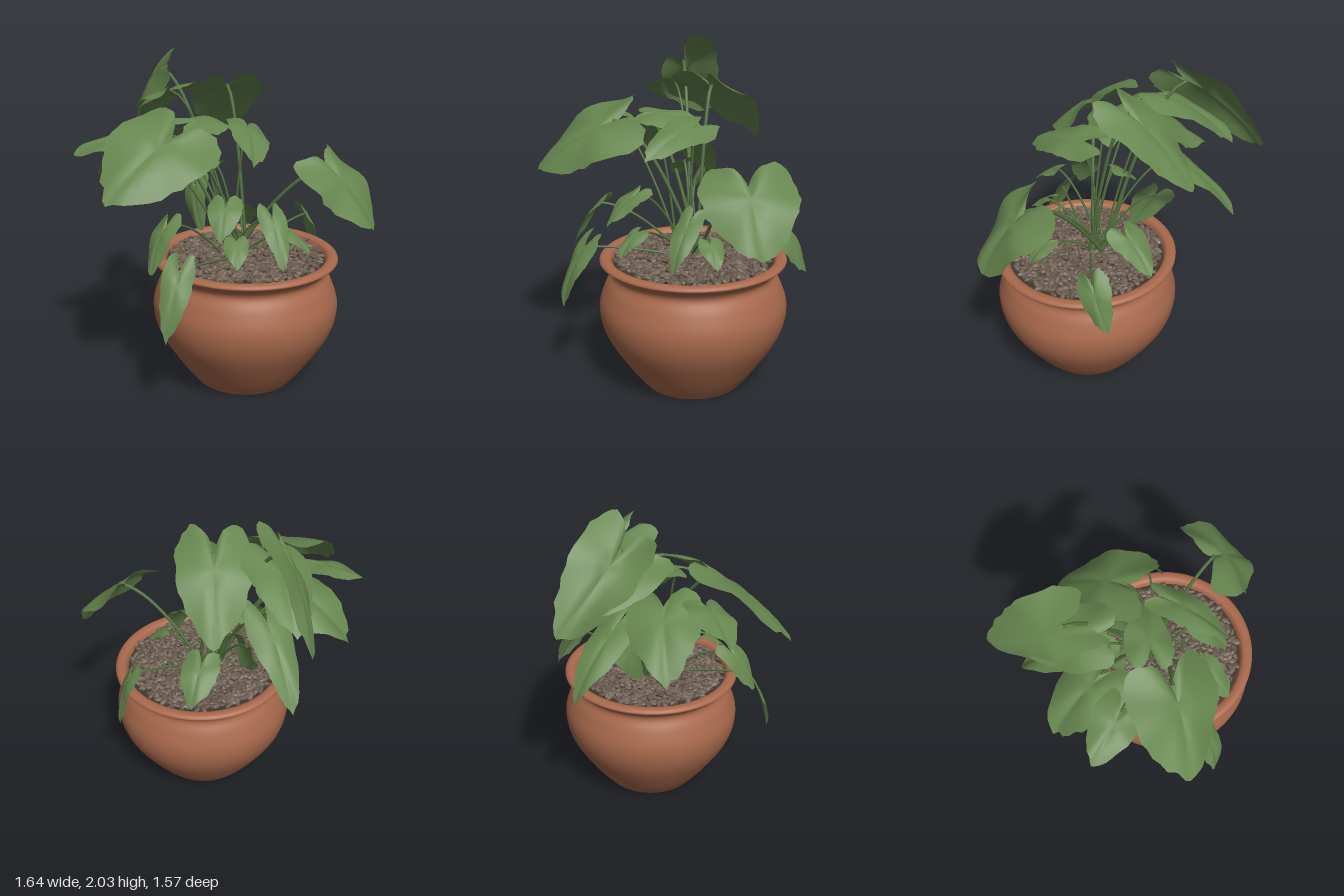
import * as THREE from 'three';
import { mergeGeometries } from 'three/addons/utils/BufferGeometryUtils.js';

const V = (x, y, z) => new THREE.Vector3(x, y, z);
const UP = V(0, 1, 0);
const material = (name, color, extra = {}) => {
  const m = new THREE.MeshStandardMaterial({ color, ...extra });
  m.name = name;
  return m;
};

// Small seeded generator for natural variation
function seeded(seed) {
  return () => {
    seed = (seed * 16807) % 2147483647;
    return seed / 2147483647;
  };
}

// Pot centre, and the spot in the soil where the plant grows
const CX = 0.11, CZ = 0.22;
const CROWN = V(0.06, 0.76, 0.15);

// Right half of the heart outline, as (across, along): sinus -> lobe -> tip
const halfHeart = new THREE.SplineCurve([
  [0, 0], [0.24, -0.23], [0.64, -0.3], [0.95, -0.1], [0.99, 0.2],
  [0.82, 0.5], [0.45, 0.82], [0, 1.04],
].map(p => new THREE.Vector2(...p)));

// Heart-shaped blade from its stalk joint to its tip, rolled about its midrib
function leafGeometry(base, tip, roll, halfWidth, rand) {
  const along = tip.clone().sub(base);
  const length = along.length();
  along.normalize();
  const across = UP.clone().cross(along).normalize().applyAxisAngle(along, -roll);
  const normal = along.clone().cross(across);

  const half = halfHeart.getPoints(22);
  const mirrored = half.slice(1, -1).reverse().map(p => new THREE.Vector2(-p.x, p.y));
  const outline = [...half, ...mirrored];
  const n = outline.length, rings = 5, phase = rand() * 6;
  const positions = [], index = [];
  const add = (a, l, wave) => {
    // Arched along the midrib, drooping and wavy towards the margin
    const h = 0.28 * length * l * (1 - l)
      + halfWidth * (0.06 * Math.min(1, Math.abs(a) * 5) - 0.22 * a * a + wave);
    positions.push(...base.clone().addScaledVector(across, a * halfWidth)
      .addScaledVector(along, l * length).addScaledVector(normal, h));
  };
  add(0, 0.2, 0);
  for (let r = 1; r <= rings; r++) {
    const t = r / rings;
    outline.forEach((p, k) => {
      // Ragged margin on the last ring only
      const s = r === rings ? 0.94 + 0.09 * rand() : t;
      const wave = 0.08 * t * t * Math.sin(k / n * Math.PI * 10 + phase);
      add(p.x * s, 0.2 + (p.y - 0.2) * s, wave);
    });
  }
  for (let k = 0; k < n; k++) {
    const k2 = (k + 1) % n;
    index.push(0, 1 + k2, 1 + k);
    for (let r = 0; r < rings - 1; r++) {
      const a = 1 + r * n + k, b = 1 + r * n + k2;
      index.push(a, b, a + n, b, b + n, a + n);
    }
  }
  const g = new THREE.BufferGeometry();
  g.setAttribute('position', new THREE.Float32BufferAttribute(positions, 3));
  g.setIndex(index);
  g.computeVertexNormals();
  return g;
}

// Arching stalk from the soil to the leaf joint
function stalkGeometry(root, base, radius) {
  const rise = base.y - root.y;
  const curve = new THREE.CubicBezierCurve3(
    root,
    root.clone().lerp(base, 0.3).setY(root.y + rise * 0.5),
    root.clone().lerp(base, 0.65).setY(root.y + rise * 0.98),
    base,
  );
  return new THREE.TubeGeometry(curve, 16, radius, 6);
}

// Grown leaves: joint, tip, roll, half width
const GROWN = [
  ['topBackLeaf', [-0.2, 1.85, -0.33], [-0.17, 1.47, -0.77], 1.0, 0.22],
  ['upperBackLeaf', [-0.2, 1.74, -0.2], [-0.17, 1.5, -0.6], 0.2, 0.2],
  ['upperRightLeaf', [0.11, 1.77, -0.05], [0.24, 1.39, -0.42], 0.05, 0.22],
  ['bigLeftLeaf', [-0.38, 1.57, 0.27], [-0.8, 1.26, 0.4], 0.48, 0.3],
  ['bigRightLeaf', [0.54, 1.33, 0.46], [0.7, 0.98, 0.67], -0.08, 0.28],
  ['backLeftLeaf', [-0.33, 1.49, -0.13], [-0.6, 1.21, -0.38], -0.13, 0.22],
  ['farLeftLeaf', [-0.54, 1.52, 0], [-0.82, 1.42, -0.13], 0.22, 0.14],
  ['centreLeaf', [-0.2, 1.6, 0.13], [0.1, 1.53, 0.06], -0.2, 0.14],
  ['upperFrontLeaf', [0.12, 1.57, 0.21], [-0.02, 1.43, 0.56], 0.4, 0.13],
  ['lowerBackLeaf', [-0.13, 1.38, -0.27], [-0.15, 1.0, -0.65], 0.06, 0.13],
  ['lowBackLeaf', [-0.05, 1.15, -0.18], [-0.06, 0.88, -0.03], -1.2, 0.11],
  ['rimRightLeaf', [0.62, 0.93, 0.06], [0.72, 0.68, -0.05], -0.84, 0.1],
  ['rimLeftLeaf', [-0.45, 0.86, 0.52], [-0.56, 0.51, 0.6], 0.37, 0.09],
  ['sideLeftLeaf', [-0.45, 1.08, 0.34], [-0.57, 0.83, 0.42], -0.34, 0.1],
  ['frontLeaf', [0.18, 1.07, 0.42], [0.16, 0.81, 0.6], 0, 0.085],
];

// Young leaves, which droop away from the crown: joint, length
const YOUNG = [
  ['frontLeftLeaf', [-0.14, 1.2, 0.46], 0.24],
  ['smallFrontLeaf', [0.3, 0.95, 0.41], 0.17],
  ['smallLeftLeaf', [-0.1, 0.99, 0.52], 0.17],
  ['smallCentreLeaf', [-0.02, 1.32, 0.06], 0.19],
  ['lowRightLeaf', [0.2, 1.0, -0.05], 0.28],
];

export function createModel() {
  const model = new THREE.Group();
  model.name = 'pottedPlant';
  const clay = material('terracotta', 0xa8694c);
  const earth = material('soil', 0x40362d);
  const stones = [
    material('brownStone', 0x65574a, { flatShading: true }),
    material('greyStone', 0x746658, { flatShading: true }),
  ];
  const green = material('leafGreen', 0x66864f, { side: THREE.DoubleSide });
  const stalkGreen = material('stalkGreen', 0x53703f);
  const add = (name, geometry, mat, parent = model) => {
    const mesh = new THREE.Mesh(geometry, mat);
    mesh.name = name;
    parent.add(mesh);
    return mesh;
  };

  // Pot: round belly, pinched neck, flared rim turning inwards
  const profile = new THREE.SplineCurve([
    [0.3, 0], [0.4, 0.127], [0.525, 0.33], [0.56, 0.49], [0.524, 0.62], [0.483, 0.7],
    [0.52, 0.756], [0.554, 0.778], [0.535, 0.8], [0.49, 0.793], [0.468, 0.74],
  ].map(p => new THREE.Vector2(...p))).getPoints(50);
  add('pot', new THREE.LatheGeometry(profile, 72), clay).position.set(CX, 0, CZ);
  add('potBase', new THREE.CircleGeometry(0.3, 72).rotateX(Math.PI / 2), clay)
    .position.set(CX, 0, CZ);
  add('soil', new THREE.CircleGeometry(0.475, 48).rotateX(-Math.PI / 2), earth)
    .position.set(CX, 0.765, CZ);

  // Pebbles spread over the soil in a spiral
  const rand = seeded(71);
  const pebbles = [[], []];
  const count = 600;
  for (let i = 0; i < count; i++) {
    const r = 0.455 * Math.sqrt((i + 0.5) / count), a = i * 2.39996;
    const g = new THREE.IcosahedronGeometry(1, 0);
    g.scale(0.028 + rand() * 0.012, 0.012 + rand() * 0.006, 0.016 + rand() * 0.007);
    g.rotateZ((rand() - 0.5) * 0.9).rotateY(rand() * Math.PI);
    g.translate(CX + r * Math.cos(a), 0.772 + rand() * 0.02, CZ + r * Math.sin(a));
    pebbles[rand() < 0.6 ? 0 : 1].push(g);
  }
  add('brownPebbles', mergeGeometries(pebbles[0]), stones[0]);
  add('greyPebbles', mergeGeometries(pebbles[1]), stones[1]);

  // One leaf: blade and stalk
  const addLeaf = (name, base, tip, roll, halfWidth) => {
    const group = new THREE.Group();
    group.name = name;
    model.add(group);
    const root = CROWN.clone().add(V((rand() - 0.5) * 0.16, 0, (rand() - 0.5) * 0.14));
    const radius = halfWidth > 0.2 ? 0.011 : 0.007;
    add('stalk', stalkGeometry(root, base, radius), stalkGreen, group);
    add('blade', leafGeometry(base, tip, roll, halfWidth, rand), green, group);
  };
  for (const [name, base, tip, roll, halfWidth] of GROWN) {
    addLeaf(name, V(...base), V(...tip), roll, halfWidth);
  }
  for (const [name, joint, length] of YOUNG) {
    const base = V(...joint);
    const out = base.clone().sub(CROWN).setY(0).normalize().setY(-0.9).setLength(length);
    addLeaf(name, base, base.clone().add(out), 0, length * 0.42);
  }
  return model;
}
